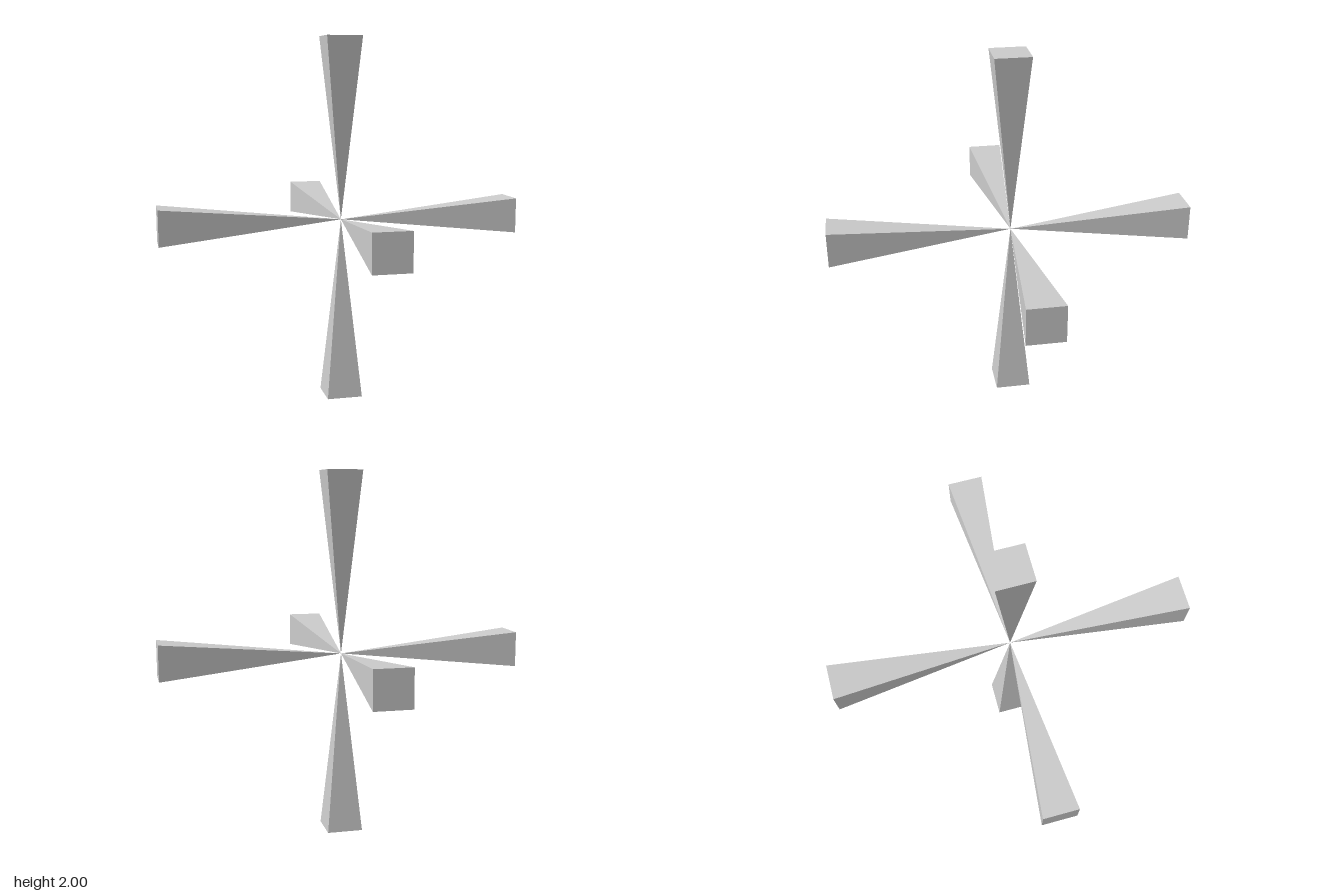
import * as THREE from 'three';

const HALF_WIDTH = 0.098;

export function createModel() {
  const model = new THREE.Group();
  model.name = 'sixArmedStar';
  const material = new THREE.MeshStandardMaterial({ color: 0xcccccc, flatShading: true });

  // Square pyramid arm: tip at the origin, square end one unit below
  const armGeometry = new THREE.ConeGeometry(HALF_WIDTH * Math.SQRT2, 1, 4, 1);
  armGeometry.rotateY(Math.PI / 4);
  armGeometry.translate(0, -0.5, 0);

  // Rotations that point the arm along each axis direction
  const q = Math.PI / 2;
  const arms = {
    bottomArm: [0, 0, 0],
    topArm: [2 * q, 0, 0],
    leftArm: [0, 0, q],
    rightArm: [0, 0, -q],
    frontArm: [-q, 0, 0],
    backArm: [q, 0, 0],
  };

  // All six tips meet at the centre of the model
  for (const [name, rotation] of Object.entries(arms)) {
    const arm = new THREE.Mesh(armGeometry, material);
    arm.name = name;
    arm.rotation.set(...rotation);
    arm.position.y = 1;
    model.add(arm);
  }
  return model;
}
